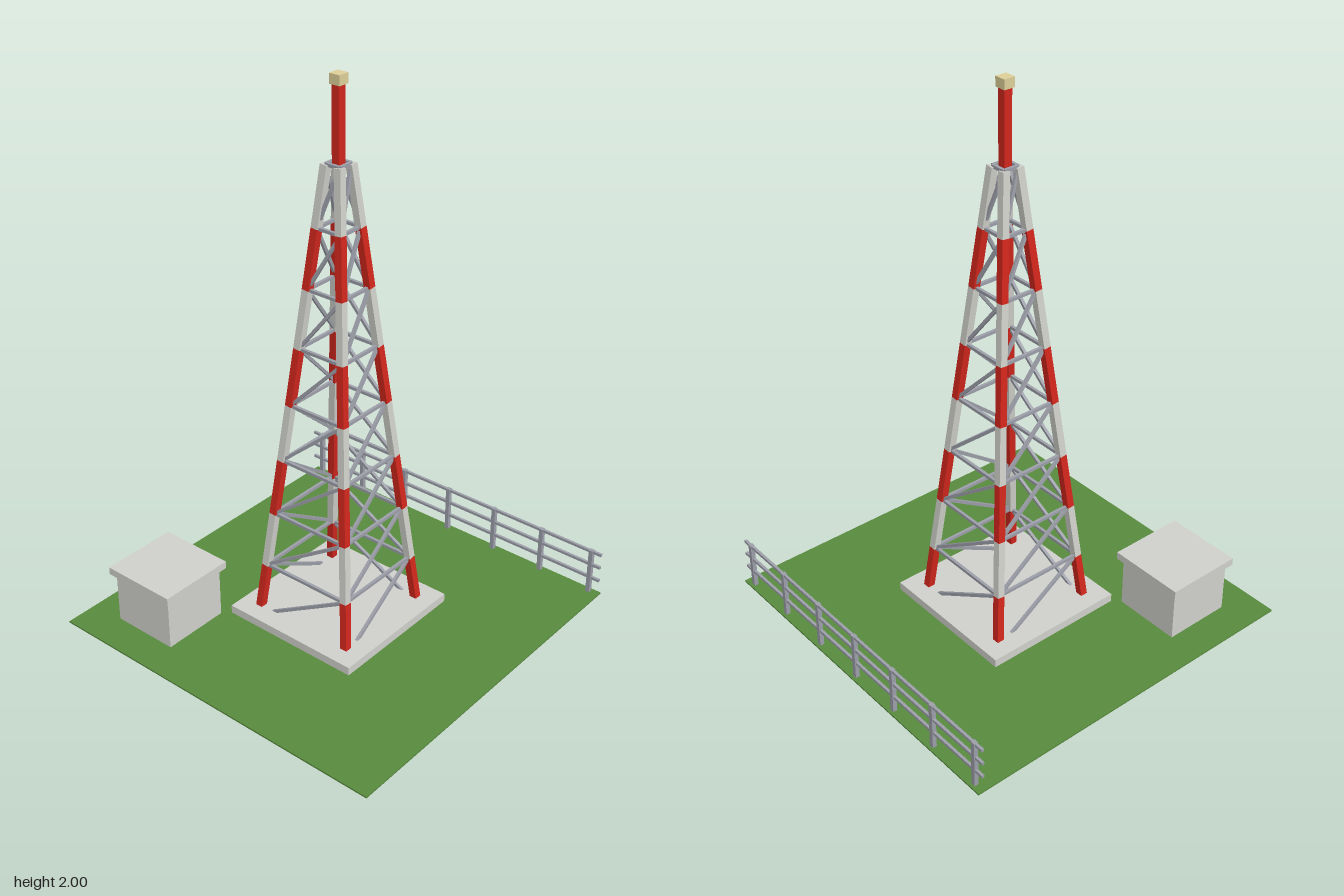
import * as THREE from 'three';

const mat = (name, color) => {
  const m = new THREE.MeshStandardMaterial({ color });
  m.name = name;
  return m;
};

export function createModel() {
  const red = mat('signal red', 0xd0261c);
  const pale = mat('pale concrete', 0xcfcfca);
  const steel = mat('brace steel', 0x9c9ea8);
  const grass = mat('grass green', 0x588a3e);
  const cream = mat('lamp cream', 0xdccf98);
  const root = new THREE.Group();
  root.name = 'latticeTower';

  const group = (name) => {
    const g = new THREE.Group();
    g.name = name;
    root.add(g);
    return g;
  };
  // Box given by its bottom centre
  const box = (parent, name, w, h, d, x, y, z, m) => {
    const mesh = new THREE.Mesh(new THREE.BoxGeometry(w, h, d), m);
    mesh.position.set(x, y + h / 2, z);
    mesh.name = name;
    parent.add(mesh);
  };
  // Square bar between two points
  const up = new THREE.Vector3(0, 1, 0);
  const bar = (parent, name, a, b, w, m) => {
    const dir = b.clone().sub(a);
    const mesh = new THREE.Mesh(new THREE.BoxGeometry(w, dir.length(), w), m);
    mesh.position.copy(a).add(b).multiplyScalar(0.5);
    mesh.quaternion.setFromUnitVectors(up, dir.normalize());
    mesh.name = name;
    parent.add(mesh);
  };

  // Ground and foundation
  box(root, 'ground', 1.36, 0.006, 1.36, 0, 0.009, 0, grass);
  box(root, 'foundation', 0.544, 0.038, 0.544, 0, 0.008, 0, pale);

  // Equipment hut
  const hut = group('hut');
  box(hut, 'hutWalls', 0.254, 0.204, 0.254, -0.426, 0.008, 0.426, pale);
  box(hut, 'hutRoof', 0.288, 0.028, 0.288, -0.426, 0.21, 0.426, pale);

  // Tower: tapering legs in alternating colours, with rings and diagonals
  const tower = group('tower');
  const bays = 8, y0 = 0.006, y1 = 1.71;
  const corners = [[-1, 1], [1, 1], [1, -1], [-1, -1]];
  const point = (corner, level) => {
    const t = level / bays, r = THREE.MathUtils.lerp(0.2, 0.028, t);
    const [sx, sz] = corners[corner % 4];
    return new THREE.Vector3(sx * r, THREE.MathUtils.lerp(y0, y1, t), sz * r);
  };
  for (let i = 0; i < bays; i++) {
    for (let c = 0; c < 4; c++) {
      bar(tower, 'legSection', point(c, i), point(c, i + 1), 0.027, i % 2 ? pale : red);
      bar(tower, 'ringBar', point(c, i + 1), point(c + 1, i + 1), 0.011, steel);
      bar(tower, 'diagonalBrace', point(c, i), point(c + 1, i + 1), 0.011, steel);
    }
  }

  // Mast and lamp
  box(root, 'mast', 0.03, 0.26, 0.03, 0, 1.71, 0, red);
  box(root, 'lamp', 0.042, 0.034, 0.042, 0, 1.966, 0, cream);

  // Back fence
  const fence = group('fence');
  for (let i = -3; i <= 3; i++) {
    box(fence, 'fencePost', 0.016, 0.183, 0.016, i * 0.213, 0.012, -0.661, steel);
  }
  for (const y of [0.073, 0.129, 0.184]) {
    box(fence, 'fenceRail', 1.36, 0.01, 0.01, 0, y, -0.661, steel);
  }
  return root;
}
